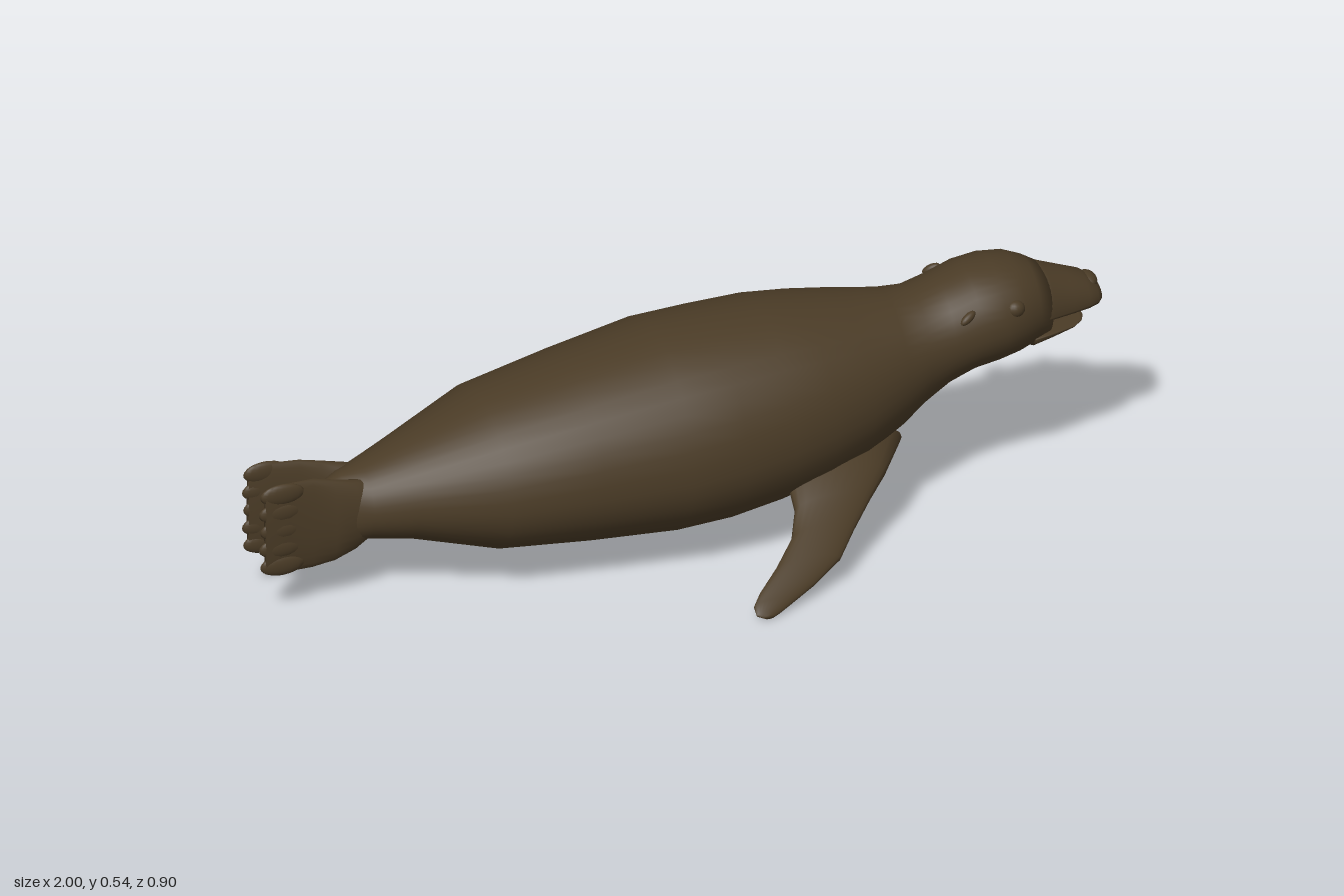
import * as THREE from 'three';

const hide = new THREE.MeshStandardMaterial({ color: 0x4a3b26 });
hide.name = 'dark brown hide';

// Skin a list of rings (arrays of Vector3) into one smooth, capped surface.
function loft(name, rings) {
  const n = rings[0].length;
  const pos = [];
  const index = [];
  rings.forEach((ring) => ring.forEach((p) => pos.push(p.x, p.y, p.z)));
  for (let i = 0; i < rings.length - 1; i++) {
    for (let j = 0; j < n; j++) {
      const a = i * n + j, b = i * n + (j + 1) % n;
      index.push(a, b, b + n, a, b + n, a + n);
    }
  }
  // end caps
  [0, rings.length - 1].forEach((r, end) => {
    const c = new THREE.Vector3();
    rings[r].forEach((p) => c.addScaledVector(p, 1 / n));
    const centre = pos.length / 3;
    pos.push(c.x, c.y, c.z);
    for (let j = 0; j < n; j++) {
      const a = r * n + j, b = r * n + (j + 1) % n;
      index.push(centre, end ? a : b, end ? b : a);
    }
  });
  const geo = new THREE.BufferGeometry();
  geo.setAttribute('position', new THREE.Float32BufferAttribute(pos, 3));
  geo.setIndex(index);
  geo.computeVertexNormals();
  const mesh = new THREE.Mesh(geo, hide);
  mesh.name = name;
  return mesh;
}

// Ring across x: bottom, widest height, top, half width, sideways offset.
function ringX([x, bottom, mid, top, w, z = 0], n = 40) {
  return Array.from({ length: n }, (_, j) => {
    const t = (j / n) * Math.PI * 2;
    const c = Math.cos(t);
    return new THREE.Vector3(x, mid + c * (c > 0 ? top - mid : mid - bottom), z + w * Math.sin(t));
  });
}

// Ring across z for a front flipper: distance out, height, rear x, front x, half thickness.
function ringZ([z, y, rear, front, h], side, n = 24) {
  return Array.from({ length: n }, (_, j) => {
    const t = (j / n) * Math.PI * 2;
    return new THREE.Vector3(
      (rear + front) / 2 + ((front - rear) / 2) * Math.cos(t),
      y + side * h * Math.sin(t),
      side * z
    );
  });
}

function blob(name, [x, y, z], [rx, ry, rz]) {
  const mesh = new THREE.Mesh(new THREE.SphereGeometry(1, 16, 12), hide);
  mesh.name = name;
  mesh.position.set(x, y, z);
  mesh.scale.set(rx, ry, rz);
  return mesh;
}

export function createModel() {
  const model = new THREE.Group();
  model.name = 'seaLion';

  // Body, neck and skull
  model.add(loft('body', [
    [-0.84, 0.15, 0.21, 0.28, 0.025],
    [-0.79, 0.135, 0.21, 0.302, 0.068],
    [-0.74, 0.14, 0.22, 0.315, 0.095],
    [-0.65, 0.13, 0.23, 0.35, 0.132],
    [-0.46, 0.08, 0.24, 0.432, 0.213],
    [-0.25, 0.063, 0.25, 0.48, 0.242],
    [-0.05, 0.053, 0.26, 0.52, 0.264],
    [0.08, 0.058, 0.27, 0.527, 0.26],
    [0.2, 0.077, 0.285, 0.531, 0.249],
    [0.3, 0.1, 0.3, 0.523, 0.23],
    [0.4, 0.135, 0.315, 0.511, 0.2],
    [0.5, 0.182, 0.34, 0.498, 0.157],
    [0.56, 0.225, 0.365, 0.498, 0.133],
    [0.62, 0.268, 0.39, 0.516, 0.128],
    [0.68, 0.296, 0.41, 0.537, 0.133],
    [0.74, 0.307, 0.42, 0.544, 0.134],
    [0.79, 0.316, 0.425, 0.541, 0.121],
    [0.83, 0.328, 0.425, 0.525, 0.103],
    [0.865, 0.339, 0.42, 0.504, 0.083],
  ].map((r) => ringX(r))));

  // Upper snout, flat underneath, and lower jaw, parted by the open mouth
  model.add(loft('snout', [
    [0.82, 0.39, 0.415, 0.525, 0.098],
    [0.87, 0.39, 0.412, 0.503, 0.084],
    [0.92, 0.389, 0.41, 0.484, 0.07],
    [0.96, 0.389, 0.412, 0.468, 0.061],
    [0.985, 0.391, 0.413, 0.45, 0.05],
    [0.997, 0.397, 0.414, 0.435, 0.035],
    [1.0, 0.406, 0.416, 0.426, 0.018],
  ].map((r) => ringX(r))));
  model.add(loft('lowerJaw', [
    [0.82, 0.33, 0.368, 0.375, 0.092],
    [0.87, 0.342, 0.368, 0.374, 0.08],
    [0.92, 0.355, 0.368, 0.373, 0.064],
    [0.945, 0.363, 0.369, 0.374, 0.045],
    [0.955, 0.367, 0.37, 0.373, 0.025],
  ].map((r) => ringX(r))));
  model.add(blob('nosePad', [0.974, 0.444, 0], [0.022, 0.018, 0.032]));

  for (const side of [1, -1]) {
    // Eyes and small back-swept ears
    model.add(blob('eye', [0.765, 0.468, side * 0.109], [0.022, 0.02, 0.018]));
    const ear = blob('ear', [0.65, 0.472, side * 0.118], [0.022, 0.01, 0.01]);
    ear.rotation.set(0, side * 0.35, 0.5);
    model.add(ear);

    // Front flippers, sweeping out, down and back
    model.add(loft('frontFlipper', [
      [0.1, 0.19, 0.2, 0.5, 0.05],
      [0.19, 0.165, 0.2, 0.43, 0.038],
      [0.24, 0.135, 0.195, 0.375, 0.027],
      [0.3, 0.102, 0.165, 0.315, 0.022],
      [0.36, 0.069, 0.105, 0.26, 0.019],
      [0.4, 0.04, 0.053, 0.185, 0.014],
      [0.425, 0.024, 0.03, 0.13, 0.012],
      [0.443, 0.012, 0.03, 0.09, 0.008],
      [0.45, 0.007, 0.045, 0.07, 0.005],
    ].map((r) => ringZ(r, side))));

    // Upright hind flippers with a scalloped row of toes
    const hind = new THREE.Group();
    hind.name = 'hindFlipper';
    hind.add(loft('hindFlipperBlade', [
      [-0.985, 0.112, 0.217, 0.322, 0.009, side * 0.056],
      [-0.93, 0.106, 0.217, 0.33, 0.013, side * 0.05],
      [-0.87, 0.103, 0.215, 0.328, 0.017, side * 0.045],
      [-0.82, 0.11, 0.215, 0.316, 0.025, side * 0.045],
      [-0.77, 0.13, 0.217, 0.303, 0.034, side * 0.042],
      [-0.7, 0.17, 0.23, 0.29, 0.035, side * 0.03],
    ].map((r) => ringX(r, 24))));
    for (let i = 0; i < 5; i++) {
      const y = 0.129 + i * 0.0445;
      hind.add(blob('toe', [-0.945 - 0.003 * (i % 2), y, side * 0.054], [0.052, 0.026, 0.011]));
    }
    model.add(hind);
  }
  return model;
}
